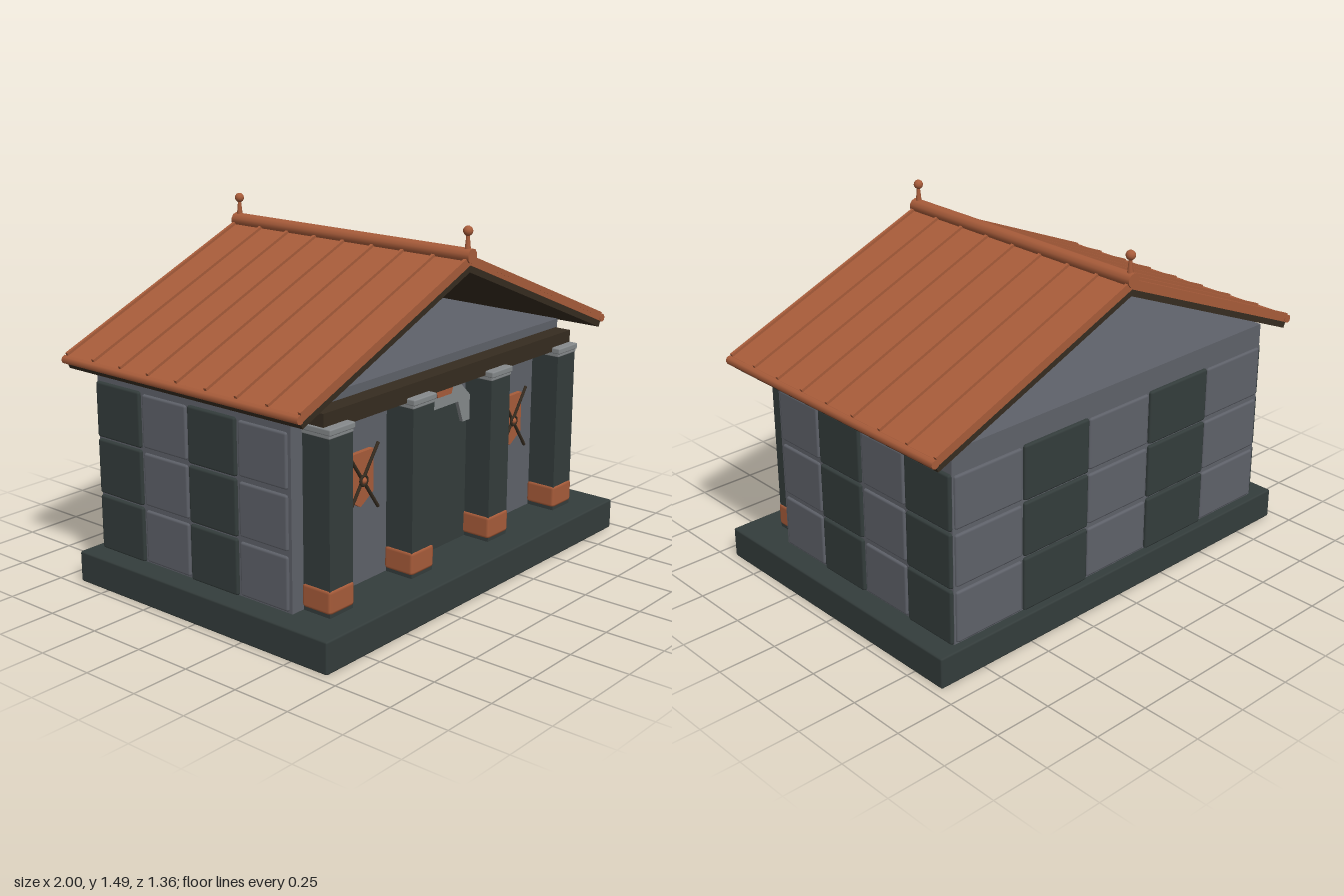
import * as THREE from 'three';
import { RoundedBoxGeometry } from 'three/addons/geometries/RoundedBoxGeometry.js';

export function createModel() {
  const root = new THREE.Group();
  root.name = 'smallTemple';
  const material = (name, color) => {
    const m = new THREE.MeshStandardMaterial({ color });
    m.name = name;
    return m;
  };
  const stone = material('wall stone', 0x5f626a);
  const dark = material('dark stone', 0x343d3c);
  const pale = material('pale stone', 0x868a8c);
  const terracotta = material('terracotta', 0xa85c3a);
  const wood = material('dark wood', 0x362c20);

  const add = (name, geometry, mat, x = 0, y = 0, z = 0, parent = root) => {
    const mesh = new THREE.Mesh(geometry, mat);
    mesh.name = name;
    mesh.position.set(x, y, z);
    parent.add(mesh);
    return mesh;
  };
  const box = (w, h, d) => new THREE.BoxGeometry(w, h, d);
  const block = (w, h, d, r = 0.01) => new RoundedBoxGeometry(w, h, d, 1, r);
  // Prism with an outline in x/y, pushed forward along z
  const prism = (points, depth) => new THREE.ExtrudeGeometry(
    new THREE.Shape(points.map(([x, y]) => new THREE.Vector2(x, y))),
    { depth, bevelEnabled: false });

  // Plinth and solid wall core
  add('plinth', block(1.93, 0.132, 1.34, 0.008), dark, 0, 0.066, 0.01);
  add('wallCore', box(1.73, 0.81, 1.045), stone, 0, 0.535, -0.0975);

  // Chequered wall blocks, three courses on both sides and the back
  for (let row = 0; row < 3; row++) {
    const y = 0.248 + row * 0.24;
    for (const side of [-1, 1]) {
      for (let i = 0; i < 4; i++) {
        const isDark = i % 2 === 1;
        add('sideBlock', block(0.04, isDark ? 0.232 : 0.22, isDark ? 0.252 : 0.245),
          isDark ? dark : stone, side * (isDark ? 0.859 : 0.855), y, 0.288 - i * 0.26);
      }
    }
    for (let i = 0; i < 5; i++) {
      const isDark = i % 2 === 1;
      add('backBlock', block(isDark ? 0.342 : 0.334, isDark ? 0.232 : 0.22, 0.04),
        isDark ? dark : stone, (i - 2) * 0.345, y, isDark ? -0.614 : -0.61);
    }
  }

  // Porch columns
  for (const x of [-0.74, -0.255, 0.255, 0.74]) {
    const column = new THREE.Group();
    column.name = 'column';
    column.position.set(x, 0, 0.492);
    add('shaft', box(0.13, 0.71, 0.13), dark, 0, 0.485, 0, column);
    add('foot', block(0.142, 0.098, 0.142, 0.014), terracotta, 0, 0.193, 0, column);
    add('capitalLower', block(0.136, 0.02, 0.138, 0.005), pale, 0, 0.835, 0, column);
    add('capitalUpper', block(0.142, 0.026, 0.15, 0.006), pale, 0, 0.852, 0, column);
    root.add(column);
  }
  add('beam', box(1.61, 0.07, 0.075), wood, 0, 0.882, 0.492);

  // Doorway with stone arch and keystone
  add('door', prism([[-0.19, 0.13], [0.19, 0.13], [0.19, 0.65], [0.115, 0.745],
    [-0.115, 0.745], [-0.19, 0.65]], 0.01), dark, 0, 0, 0.424);
  add('arch', prism([[-0.24, 0.645], [-0.145, 0.645], [-0.11, 0.738], [0.11, 0.738],
    [0.145, 0.645], [0.24, 0.645], [0.23, 0.715], [0.09, 0.845], [-0.09, 0.845],
    [-0.23, 0.715]], 0.03), pale, 0, 0, 0.42);
  add('keystone', prism([[-0.045, 0.79], [0.045, 0.79], [0.065, 0.848], [-0.065, 0.848]], 0.045),
    terracotta, 0, 0, 0.42);

  // Wall shields with crossed spears and a ring boss
  for (const side of [-1, 1]) {
    const shield = new THREE.Group();
    shield.name = 'shield';
    shield.position.set(side * 0.497, 0.567, 0.425);
    add('shieldPlate', prism([[-0.076, 0.108], [-0.076, -0.065], [0, -0.112],
      [0.076, -0.065], [0.076, 0.108]], 0.02), terracotta, 0, 0, 0, shield);
    for (const lean of [-1, 1]) {
      const spear = add('spear', new THREE.CylinderGeometry(0.007, 0.007, 0.32, 6), wood,
        0, 0, 0.03, shield);
      spear.rotation.z = lean * 0.615;
    }
    add('bossRing', new THREE.TorusGeometry(0.019, 0.006, 6, 16), wood, 0, 0, 0.036, shield);
    add('boss', new THREE.SphereGeometry(0.014, 10, 6), terracotta, 0, 0, 0.034, shield);
    root.add(shield);
  }

  // Roof slopes: tile layer over timber, with ribs and eave rolls
  const zBack = -0.668, depth = 1.246, zMid = zBack + depth / 2;
  const slope = Math.atan2(0.405, 0.985);
  for (const s of [-1, 1]) {
    add('roofTiles', prism([[0, 1.362], [s * 0.985, 0.957], [s * 0.975, 0.932], [0, 1.334]], depth),
      terracotta, 0, 0, zBack);
    add('roofTimber', prism([[0, 1.334], [s * 0.975, 0.932], [s * 0.965, 0.908], [0, 1.306]], depth - 0.006),
      wood, 0, 0, zBack + 0.003);
    for (let i = 0; i < 9; i++) {
      const rib = add('roofRib', box(1.04, 0.02, 0.013), terracotta,
        s * 0.495, 1.16, 0.572 - i * 0.1545);
      rib.rotation.z = -s * slope;
    }
    const eave = add('eaveRoll', new THREE.CylinderGeometry(0.018, 0.018, depth + 0.006, 8),
      terracotta, s * 0.982, 0.946, zMid);
    eave.rotation.x = Math.PI / 2;
  }
  const ridge = add('ridgeRoll', new THREE.CylinderGeometry(0.03, 0.03, depth + 0.018, 10),
    terracotta, 0, 1.371, zMid);
  ridge.rotation.x = Math.PI / 2;

  // Ridge finials
  for (const z of [0.563, -0.655]) {
    add('finialStem', new THREE.CylinderGeometry(0.006, 0.013, 0.07, 8), terracotta, 0, 1.423, z);
    add('finialBall', new THREE.SphereGeometry(0.02, 12, 8), terracotta, 0, 1.467, z);
  }
  return root;
}
